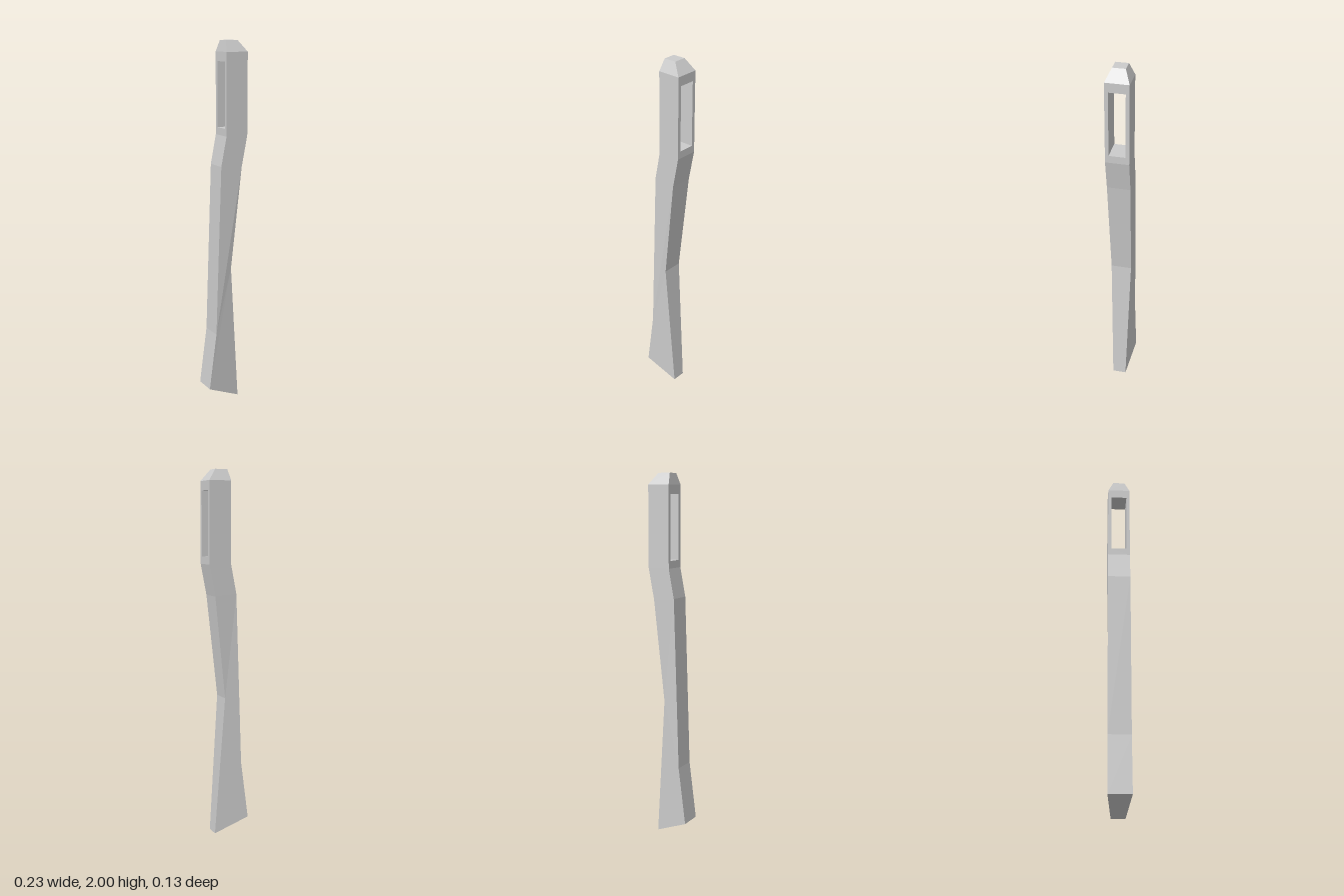
import * as THREE from 'three';

const material = new THREE.MeshStandardMaterial({ color: 0xcccccc, flatShading: true });

// Closed four-sided loft; each section is [xRight, yRight, halfZRight, xLeft, yLeft, halfZLeft]
function loft(sections) {
  const rings = sections.map(([x0, y0, z0, x1, y1, z1]) => [
    [x0, y0, z0], [x1, y1, z1], [x1, y1, -z1], [x0, y0, -z0],
  ]);
  const positions = [];
  const quad = (a, b, c, d) => positions.push(...a, ...b, ...c, ...a, ...c, ...d);
  for (let i = 0; i < rings.length - 1; i++) {
    const low = rings[i], high = rings[i + 1];
    for (let k = 0; k < 4; k++) {
      const n = (k + 1) % 4;
      quad(low[k], low[n], high[n], high[k]);
    }
  }
  quad(...[...rings[0]].reverse());
  quad(...rings[rings.length - 1]);
  const geometry = new THREE.BufferGeometry();
  geometry.setAttribute('position', new THREE.Float32BufferAttribute(positions, 3));
  geometry.computeVertexNormals();
  return geometry;
}

function rectangle(path, halfWidth, bottom, top) {
  path.moveTo(-halfWidth, bottom);
  path.lineTo(halfWidth, bottom);
  path.lineTo(halfWidth, top);
  path.lineTo(-halfWidth, top);
  path.closePath();
  return path;
}

export function createModel() {
  const group = new THREE.Group();
  group.name = 'handle';
  const add = (name, geometry) => {
    const mesh = new THREE.Mesh(geometry, material);
    mesh.name = name;
    group.add(mesh);
  };
  const HZ = 0.063, X0 = -0.011, X1 = 0.114;

  // Curved grip, flared and cut at a slant at the foot
  add('grip', loft([
    [-0.115, 0.08, HZ, 0.075, 0, 0.038],
    [-0.073, 0.4, HZ, 0.021, 0.77, 0.056],
    [-0.042, 1.34, HZ, 0.081, 1.33, HZ],
    [X0, 1.5, HZ, X1, 1.5, HZ],
  ]));

  // Straight head with a slot running through it from side to side
  const outline = rectangle(new THREE.Shape(), HZ, 1.5, 1.94);
  outline.holes.push(rectangle(new THREE.Path(), 0.044, 1.54, 1.89));
  const head = new THREE.ExtrudeGeometry(outline, { depth: X1 - X0, bevelEnabled: false });
  head.rotateY(Math.PI / 2).translate(X0, 0, 0);
  add('slottedHead', head);

  // Chamfered tip
  add('tip', loft([
    [X0, 1.94, HZ, X1, 1.94, HZ],
    [-0.001, 2, 0.034, 0.068, 2, 0.034],
  ]));

  return group;
}
